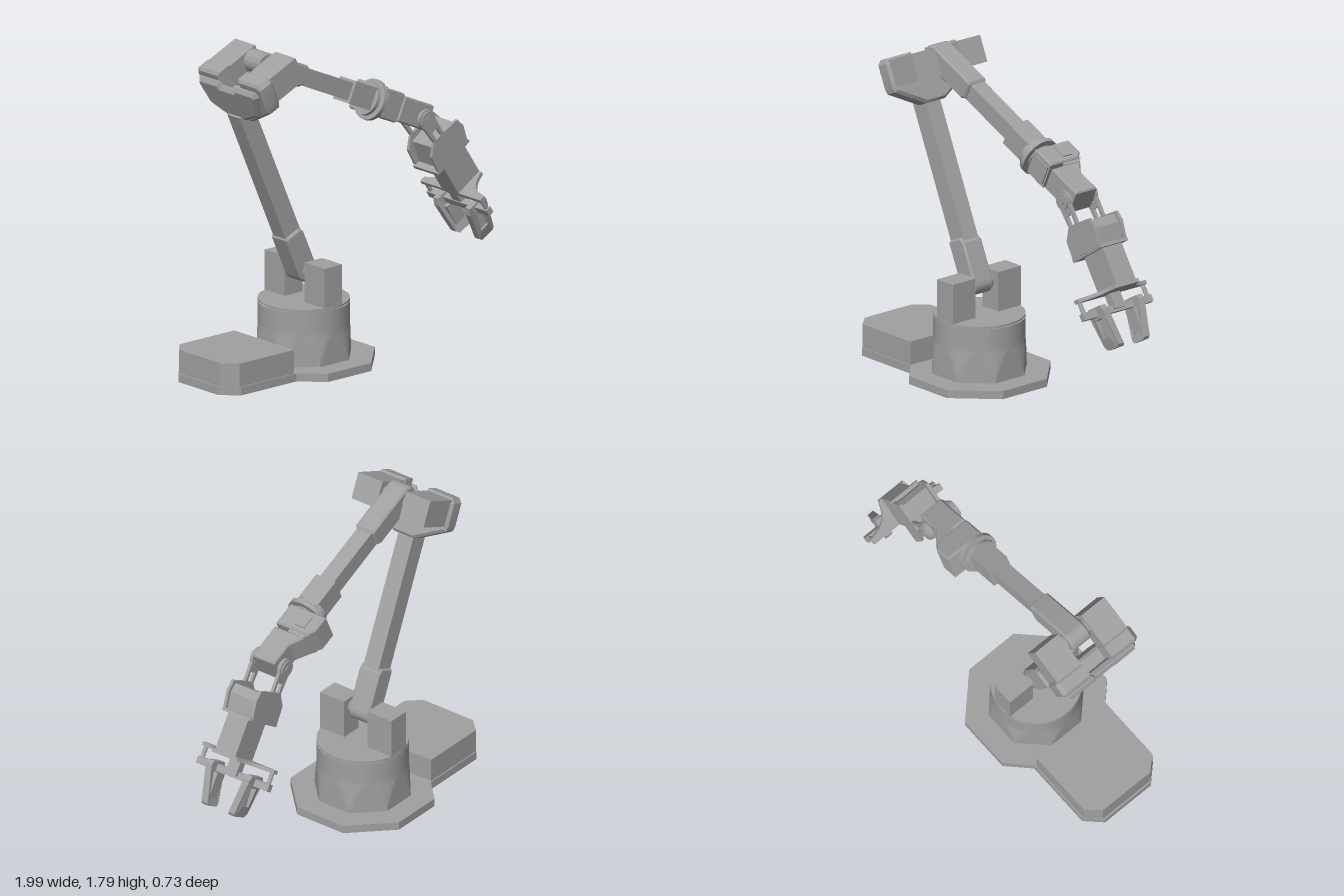
import * as THREE from 'three';
import { toCreasedNormals } from 'three/addons/utils/BufferGeometryUtils.js';

const grey = new THREE.MeshStandardMaterial({ color: 0xa0a0a0 });
grey.name = 'machine grey';

function add(parent, name, geometry, x = 0, y = 0, z = 0) {
  const mesh = new THREE.Mesh(geometry, grey);
  mesh.name = name;
  mesh.position.set(x, y, z);
  parent.add(mesh);
  return mesh;
}

// Box given by its limits on each axis
function box(parent, name, [x0, x1], [y0, y1], [z0, z1]) {
  return add(parent, name, new THREE.BoxGeometry(x1 - x0, y1 - y0, z1 - z0),
    (x0 + x1) / 2, (y0 + y1) / 2, (z0 + z1) / 2);
}

const toShape = (pts) => new THREE.Shape(pts.map(([x, y]) => new THREE.Vector2(x, y)));

// Solid of given depth, keeping its outline when bevelled
function solid(shape, depth, bevel = 0) {
  const g = new THREE.ExtrudeGeometry(shape, {
    depth: depth - 2 * bevel, bevelEnabled: bevel > 0, bevelSize: bevel, bevelOffset: -bevel,
    bevelThickness: bevel, bevelSegments: 1, curveSegments: 14,
  });
  g.translate(0, 0, bevel);
  return toCreasedNormals(g, 0.5);
}

// Side profile in x-y, extruded from z0 to z1
const side = (parent, name, shape, z0, z1, bevel) =>
  add(parent, name, solid(shape, z1 - z0, bevel), 0, 0, z0);

// Plan outline in x-z, extruded from y0 to y1
function plan(parent, name, pts, y0, y1, bevel) {
  const g = solid(toShape(pts.map(([x, z]) => [x, -z])), y1 - y0, bevel);
  g.rotateX(-Math.PI / 2);
  return add(parent, name, g, 0, y0, 0);
}

// Half an outline mirrored over z = 0
const mirrored = (half) => [...half, ...half.map(([x, z]) => [x, -z]).reverse()];

// Disc whose axis runs along 'x', 'y' or 'z'
function disc(parent, name, r, len, axis, x, y, z) {
  const g = new THREE.CylinderGeometry(r, r, len, 40);
  if (axis === 'x') g.rotateZ(Math.PI / 2);
  if (axis === 'z') g.rotateX(Math.PI / 2);
  return add(parent, name, g, x, y, z);
}

// Frame whose local x runs along a limb
function limb(parent, name, x, y, degrees) {
  const g = new THREE.Group();
  g.name = name;
  g.position.set(x, y, 0);
  g.rotation.z = THREE.MathUtils.degToRad(degrees);
  parent.add(g);
  return g;
}

// Sleeve rounded at the joint, chamfered at the far end
function sleeve(parent, name, x0, x1, r, halfDepth) {
  const s = new THREE.Shape();
  s.moveTo(x1, -r + 0.02);
  s.lineTo(x1, r - 0.012);
  s.lineTo(x1 - 0.012, r);
  s.lineTo(x0, r);
  s.absarc(x0, 0, r, Math.PI / 2, Math.PI * 1.5, false);
  s.lineTo(x1 - 0.03, -r);
  side(parent, name, s, -halfDepth, halfDepth, 0.01);
}

function buildBase(root) {
  plan(root, 'basePlate', mirrored([[0.11, 0.155], [-0.1, 0.365], [-0.405, 0.365],
    [-0.525, 0.247], [-0.915, 0.247], [-1, 0.16]]), 0, 0.045);
  plan(root, 'controlBox', mirrored([[-0.535, 0.24], [-0.92, 0.24], [-0.99, 0.165]]), 0.045, 0.175);

  // Round drum with eight arched flats around its foot
  const R = 0.245;
  const g = new THREE.CylinderGeometry(1, 1, 0.3, 96, 20, true);
  const p = g.attributes.position;
  for (let i = 0; i < p.count; i++) {
    const a = Math.atan2(p.getZ(i), p.getX(i));
    const step = Math.PI / 4;
    const phi = a - Math.round(a / step) * step;
    const cone = R + 0.021 * Math.max(0, 1 - (p.getY(i) + 0.15) / 0.17);
    const r = Math.min(R / Math.cos(phi), cone);
    p.setXYZ(i, r * Math.cos(a), p.getY(i), r * Math.sin(a));
  }
  add(root, 'drum', toCreasedNormals(g, 0.3), -0.255, 0.195, 0);
  disc(root, 'drumSeam', 0.236, 0.01, 'y', -0.255, 0.347, 0);
  disc(root, 'turntable', 0.245, 0.012, 'y', -0.255, 0.354, 0);

  // Shoulder motors on either side of the arm
  for (const s of [-1, 1]) {
    const z = [0.08, 0.24].map((v) => v * s).sort((a, b) => a - b);
    box(root, 'shoulderMotor', [-0.32, -0.195], [0.36, 0.58], z);
    disc(root, 'shoulderAxle', 0.045, 0.03, 'z', -0.275, 0.52, s * 0.07);
  }
}

function buildLowerArm(root) {
  const arm = limb(root, 'lowerArm', -0.255, 0.47, 113.9);
  sleeve(arm, 'lowerSleeve', 0.055, 0.305, 0.062, 0.066);
  box(arm, 'lowerLink', [0.28, 1.1], [-0.054, 0.054], [-0.05, 0.05]);

  // Elbow yoke: a wide plate with a central notch
  plan(arm, 'elbowYoke', mirrored([[1.04, 0.065], [1.14, 0.25], [1.17, 0.258], [1.3, 0.258],
    [1.325, 0.235], [1.325, 0.075], [1.2, 0.07]]), -0.09, 0.005, 0.015);
  plan(arm, 'elbowBackPlate', mirrored([[1.07, 0.06], [1.13, 0.19], [1.26, 0.235],
    [1.29, 0.22], [1.29, 0.06], [1.27, 0.05]]), -0.005, 0.042, 0.02);

  // Elbow motors
  for (const s of [-1, 1]) {
    const z = [0.08, 0.242].map((v) => v * s).sort((a, b) => a - b);
    box(arm, 'elbowMotor', [1.167, 1.314], [-0.285, -0.07], z);
    disc(arm, 'elbowAxle', 0.045, 0.03, 'z', 1.25, -0.22, s * 0.07);
  }
}

function buildForearm(root) {
  const arm = limb(root, 'forearm', -0.57, 1.72, -24.4);
  sleeve(arm, 'upperSleeve', 0, 0.31, 0.062, 0.062);
  box(arm, 'upperLink', [0.29, 0.68], [-0.049, 0.049], [-0.047, 0.047]);
  box(arm, 'wristSleeve', [0.664, 0.84], [-0.063, 0.063], [-0.065, 0.065]);
  disc(arm, 'rollRing', 0.092, 0.022, 'x', 0.836, -0.006, 0);
  disc(arm, 'rollHub', 0.08, 0.06, 'x', 0.86, -0.006, 0);
  disc(arm, 'rollFlange', 0.112, 0.026, 'x', 0.87, -0.006, 0);

  // Wrist motor housing, stepping out to the right
  plan(arm, 'wristHousing', [[0.89, 0.07], [1.03, 0.07], [1.03, -0.13], [0.99, -0.165],
    [0.89, -0.165]], -0.085, 0.08, 0.008);
  plan(arm, 'wristBridge', [[1.02, -0.02], [1.05, -0.02], [1.05, -0.12], [1.02, -0.15]], -0.075, 0.07);
  plan(arm, 'wristBlock', [[1.045, 0.07], [1.26, 0.07], [1.26, -0.075], [1.12, -0.075],
    [1.045, -0.13]], -0.075, 0.068, 0.008);
  box(arm, 'housingRib', [0.92, 1.0], [0.07, 0.086], [-0.1, -0.04]);
  box(arm, 'sidePanel', [0.91, 1.02], [-0.06, 0.055], [0.065, 0.077]);
}

function buildHand(root) {
  const hand = limb(root, 'hand', 0.53, 1.205, -57);

  // Slotted side plates around the wrist pivot
  for (const s of [-1, 1]) {
    const cheek = new THREE.Shape();
    cheek.absarc(0, 0, 0.055, Math.PI * 0.3, Math.PI * 1.7, false);
    [[0.14, -0.035], [0.2, -0.093], [0.3, -0.1], [0.31, 0.14], [0.207, 0.168],
      [0.15, 0.155], [0.14, 0.045]].forEach(([x, y]) => cheek.lineTo(x, y));
    const slot = new THREE.Path();
    [[0.085, -0.015], [0.085, 0.025], [0.138, 0.025], [0.138, -0.015]]
      .forEach(([x, y], i) => (i ? slot.lineTo(x, y) : slot.moveTo(x, y)));
    cheek.holes.push(slot);
    side(hand, 'wristCheek', cheek, s * 0.092 - 0.009, s * 0.092 + 0.009);
    disc(hand, 'wristPivot', 0.045, 0.05, 'z', 0, 0, s * 0.085);
    disc(hand, 'pivotBolt', 0.02, 0.06, 'z', 0, 0, s * 0.085);
  }

  // Hand body
  side(hand, 'pitchMotor', toShape([[0.17, -0.05], [0.31, -0.075], [0.31, 0.13], [0.21, 0.155],
    [0.16, 0.14]]), -0.085, 0.085, 0.006);
  box(hand, 'handFlange', [0.3, 0.318], [-0.112, 0.155], [-0.095, 0.095]);
  box(hand, 'gripperMotor', [0.318, 0.53], [-0.045, 0.13], [-0.067, 0.067]);

  // Swept wing plate, made across the limb
  const wing = new THREE.Shape();
  wing.moveTo(-0.24, -0.045);
  wing.lineTo(0.24, -0.045);
  wing.lineTo(0.24, -0.01);
  wing.bezierCurveTo(0.13, 0.01, 0.11, 0.04, 0.085, 0.13);
  wing.lineTo(-0.085, 0.13);
  wing.bezierCurveTo(-0.11, 0.04, -0.13, 0.01, -0.24, -0.01);
  const wg = solid(wing, 0.02);
  wg.rotateY(Math.PI / 2);
  add(hand, 'wingPlate', wg, 0.525, 0, 0);

  // Rail carried on two pins and a neck
  box(hand, 'slideRail', [0.605, 0.645], [-0.045, -0.01], [-0.24, 0.24]);
  box(hand, 'railNeck', [0.54, 0.63], [-0.04, 0.01], [-0.035, 0.035]);
  for (const s of [-1, 1]) {
    disc(hand, 'railPin', 0.012, 0.08, 'x', 0.575, -0.027, s * 0.222);

    // Curved gripper finger with a slot through its side
    const outline = toShape([[0.59, -0.075], [0.63, -0.092], [0.805, -0.098], [0.825, -0.085],
      [0.832, 0.0], [0.82, 0.014], [0.62, 0.042], [0.595, 0.03]]);
    const slot = toShape([[0.66, -0.055], [0.66, 0.005], [0.765, -0.015], [0.765, -0.07]]);
    outline.holes.push(slot);
    const fg = solid(outline, 0.04);
    const p = fg.attributes.position;
    for (let i = 0; i < p.count; i++) {
      const k = (p.getX(i) - 0.59) / 0.24;
      p.setZ(i, p.getZ(i) + s * (0.128 - 0.04 * k * k) - 0.02);
    }
    fg.computeVertexNormals();
    add(hand, 'finger', fg);
    const zs = [0.08, 0.112].map((v) => v * s).sort((a, b) => a - b);
    box(hand, 'fingerPad', [0.65, 0.78], [-0.07, 0.005], zs);
  }
}

export function createModel() {
  const root = new THREE.Group();
  root.name = 'robotArm';
  buildBase(root);
  buildLowerArm(root);
  buildForearm(root);
  buildHand(root);
  return root;
}
